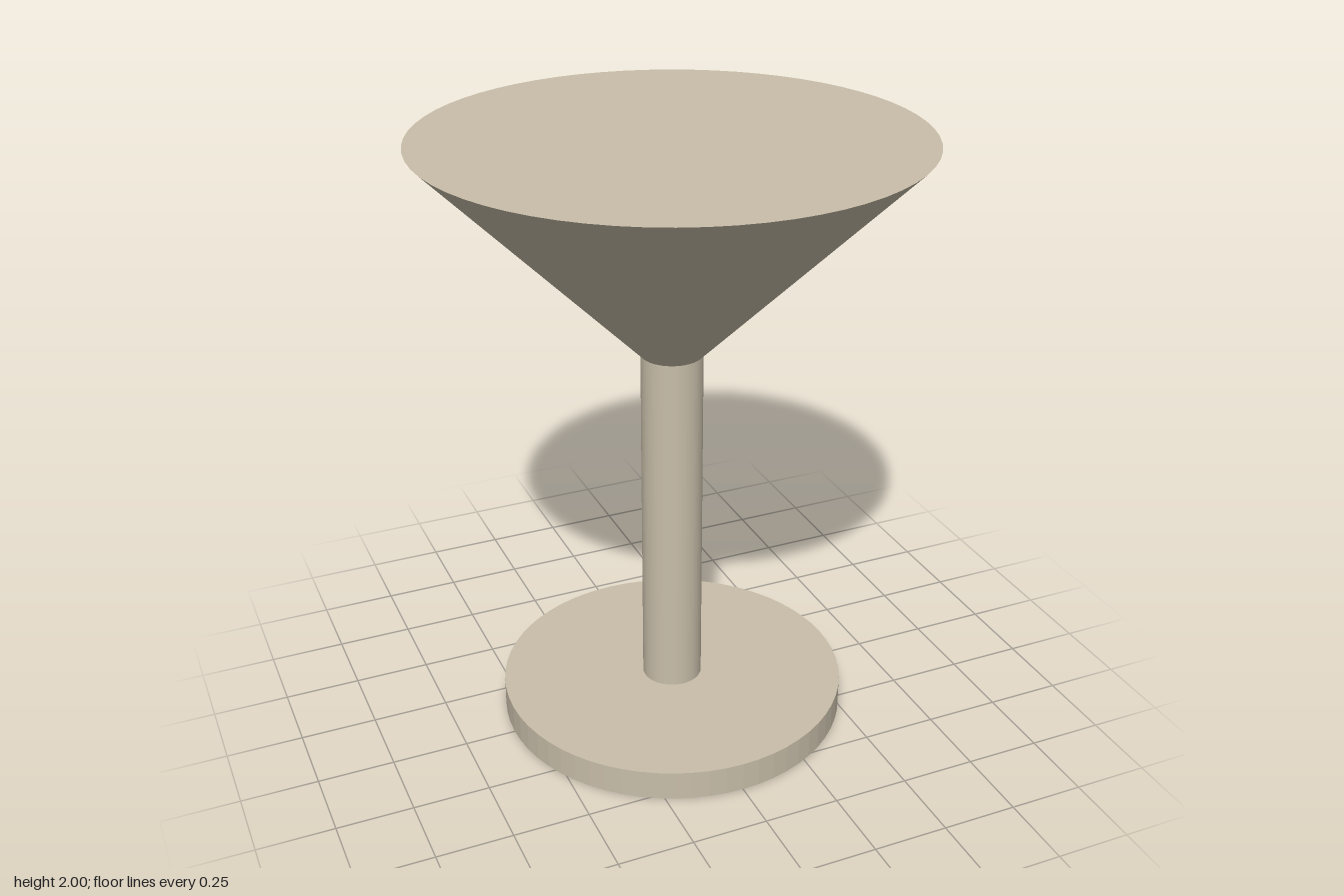
import * as THREE from 'three';

const SIDES = 64;

export function createModel() {
  const group = new THREE.Group();
  const stone = new THREE.MeshStandardMaterial({ color: 0xc8bea9, flatShading: true });
  stone.name = 'warm beige';

  // Adds a round section running from height y0 to y1
  const addRound = (name, bottomRadius, topRadius, y0, y1) => {
    const geometry = new THREE.CylinderGeometry(topRadius, bottomRadius, y1 - y0, SIDES);
    const mesh = new THREE.Mesh(geometry, stone);
    mesh.name = name;
    mesh.position.y = (y0 + y1) / 2;
    group.add(mesh);
  };

  addRound('base', 0.58, 0.58, 0, 0.1);
  addRound('stem', 0.1, 0.1, 0.1, 1.3);
  // Solid flared bowl with a closed flat top
  addRound('bowl', 0.1, 0.795, 1.3, 2);

  return group;
}
